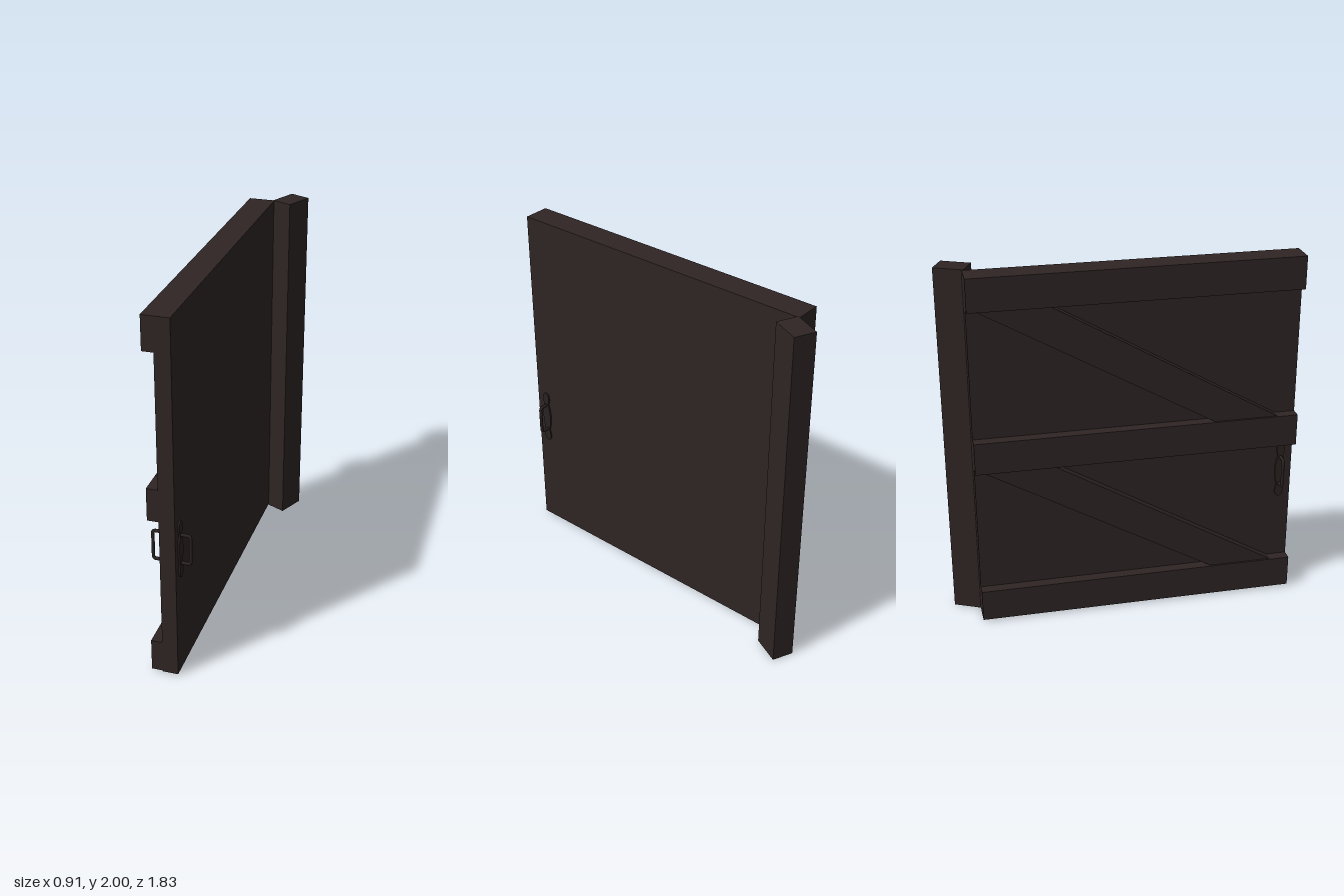
import * as THREE from 'three';

export function createModel() {
  const model = new THREE.Group();
  model.name = 'gateWithPost';
  const wood = new THREE.MeshStandardMaterial({ color: 0x2e2524 });
  wood.name = 'dark wood';
  const iron = new THREE.MeshStandardMaterial({ color: 0x2a2221 });
  iron.name = 'dark iron';

  const add = (parent, name, geometry, material) => {
    const mesh = new THREE.Mesh(geometry, material);
    mesh.name = name;
    parent.add(mesh);
    return mesh;
  };
  // Box given by its limits on each axis
  const box = (parent, name, x0, x1, y0, y1, z0, z1) =>
    add(parent, name, new THREE.BoxGeometry(x1 - x0, y1 - y0, z1 - z0), wood)
      .position.set((x0 + x1) / 2, (y0 + y1) / 2, (z0 + z1) / 2);

  // Hinge post
  box(model, 'post', -0.33, -0.21, 0, 2, -0.915, -0.75);

  // Door leaf, swung open: local x runs from hinge to free end, local z to the framed face
  const door = new THREE.Group();
  door.name = 'door';
  door.position.set(-0.02, 0, 0.075);
  door.rotation.y = -1.135;
  model.add(door);

  const half = 0.888, back = -0.0715, face = 0.0115, front = 0.0715;
  box(door, 'panel', -half, half, 0.005, 1.997, back, face);

  // Three cross rails
  for (const y of [0.01, 0.915, 1.817]) {
    box(door, 'rail', -half, half, y, y + 0.18, face, front);
  }

  // Diagonal braces between the rails
  for (const [y0, y1] of [[0.19, 0.915], [1.095, 1.817]]) {
    const outline = new THREE.Shape([
      new THREE.Vector2(-0.84, y1), new THREE.Vector2(0.42, y0),
      new THREE.Vector2(0.775, y0), new THREE.Vector2(-0.46, y1),
    ]);
    const brace = new THREE.ExtrudeGeometry(outline, { depth: 0.049, bevelEnabled: false });
    add(door, 'brace', brace, wood).position.z = face;
  }

  // Pull handle: backplate with rounded lobes and a bent grip
  const makeHandle = () => {
    const handle = new THREE.Group();
    handle.name = 'handle';
    const plate = new THREE.Shape();
    plate.moveTo(0, -0.163);
    plate.bezierCurveTo(0.03, -0.163, 0.026, -0.11, 0.014, -0.09);
    plate.quadraticCurveTo(0.042, 0, 0.014, 0.09);
    plate.bezierCurveTo(0.026, 0.11, 0.03, 0.163, 0, 0.163);
    plate.bezierCurveTo(-0.03, 0.163, -0.026, 0.11, -0.014, 0.09);
    plate.quadraticCurveTo(-0.042, 0, -0.014, -0.09);
    plate.bezierCurveTo(-0.026, -0.11, -0.03, -0.163, 0, -0.163);
    add(handle, 'handlePlate',
      new THREE.ExtrudeGeometry(plate, { depth: 0.009, bevelEnabled: false, curveSegments: 8 }), iron);

    const path = new THREE.CurvePath();
    const p = (y, z) => new THREE.Vector3(0, y, z);
    path.add(new THREE.LineCurve3(p(-0.082, 0), p(-0.082, 0.042)));
    path.add(new THREE.QuadraticBezierCurve3(p(-0.082, 0.042), p(-0.082, 0.057), p(-0.066, 0.057)));
    path.add(new THREE.LineCurve3(p(-0.066, 0.057), p(0.066, 0.057)));
    path.add(new THREE.QuadraticBezierCurve3(p(0.066, 0.057), p(0.082, 0.057), p(0.082, 0.042)));
    path.add(new THREE.LineCurve3(p(0.082, 0.042), p(0.082, 0)));
    add(handle, 'handleGrip', new THREE.TubeGeometry(path, 40, 0.009, 8), iron);
    handle.position.set(0.822, 0.738, 0);
    door.add(handle);
    return handle;
  };
  makeHandle().position.z = face;
  const rear = makeHandle();
  rear.position.z = back;
  rear.rotation.y = Math.PI;

  return model;
}
